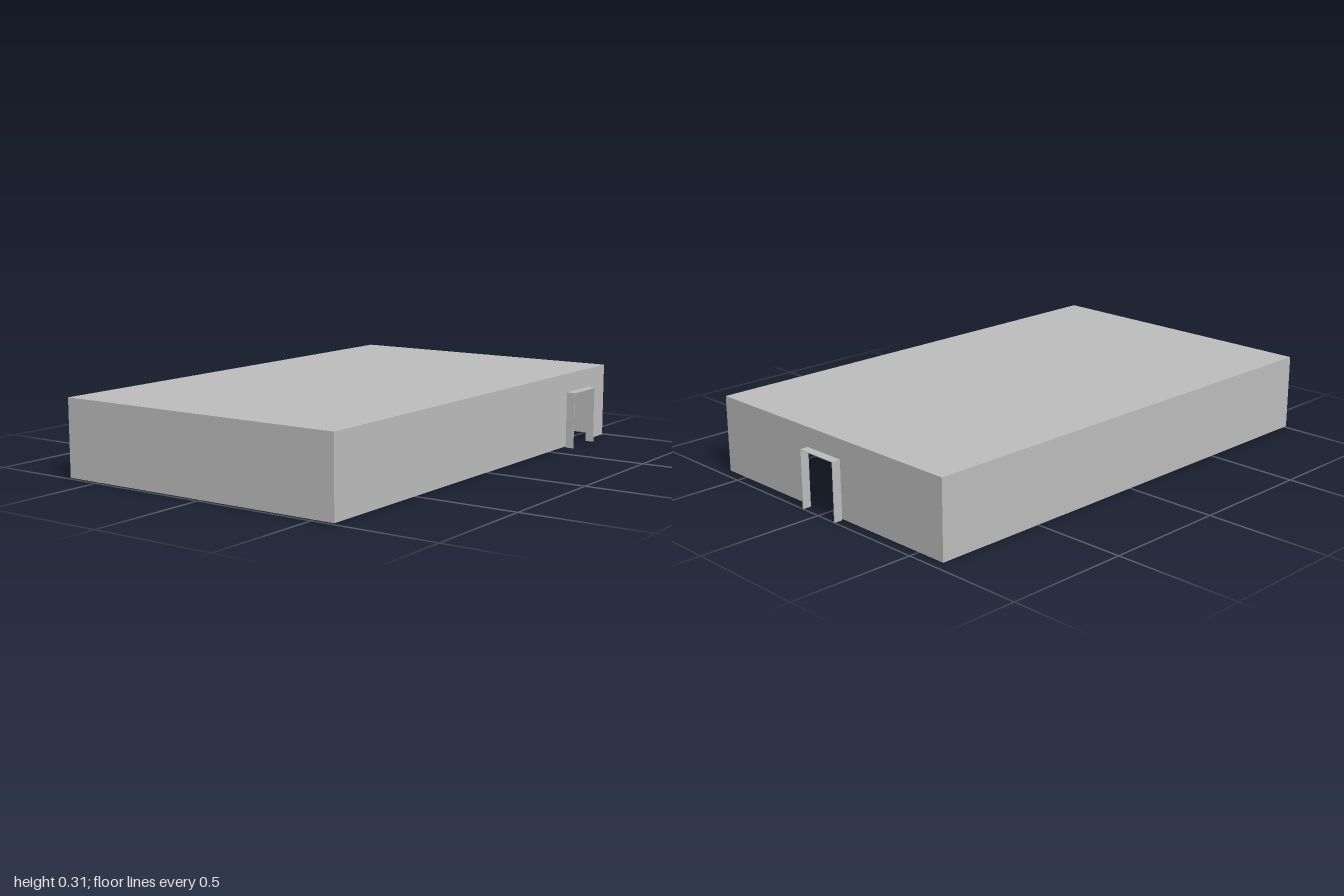
import * as THREE from 'three';
import { mergeGeometries } from 'three/addons/utils/BufferGeometryUtils.js';

// Hall extents
const X0 = -1, X1 = 0.965, Z0 = -0.63, Z1 = 0.595, Y0 = 0.005, H = 0.31;
const DOOR_H = 0.232, DEPTH = 0.035, T = 0.003;

const grey = new THREE.MeshStandardMaterial({ color: 0xbcbcbc, side: THREE.DoubleSide });
grey.name = 'plain grey';

function add(parent, name, geometry) {
  const mesh = new THREE.Mesh(geometry, grey);
  mesh.name = name;
  parent.add(mesh);
  return mesh;
}

// Box given by its lower and upper limits
function box(x0, x1, y0, y1, z0, z1) {
  return new THREE.BoxGeometry(x1 - x0, y1 - y0, z1 - z0)
    .translate((x0 + x1) / 2, (y0 + y1) / 2, (z0 + z1) / 2);
}

// Thin upright wall in the XY plane, with an optional doorway from d0 to d1
function wall(u0, u1, d0, d1) {
  const points = [[u0, Y0]];
  if (d0 !== undefined) points.push([d0, Y0], [d0, DOOR_H - T], [d1, DOOR_H - T], [d1, Y0]);
  points.push([u1, Y0], [u1, H], [u0, H]);
  return new THREE.ShapeGeometry(new THREE.Shape(points.map(p => new THREE.Vector2(...p))));
}

// Three-sided door surround standing out from the wall along +z
function doorFrame(u0, u1) {
  return mergeGeometries([
    box(u0, u0 + T, 0, DOOR_H, 0, DEPTH),
    box(u1 - T, u1, 0, DOOR_H, 0, DEPTH),
    box(u0 + T, u1 - T, DOOR_H - T, DOOR_H, 0, DEPTH),
  ]);
}

export function createModel() {
  const model = new THREE.Group();
  model.name = 'hall';

  // Walls
  add(model, 'frontWall', wall(X0, X1, 0.628, 0.807)).position.z = Z1;
  add(model, 'backWall', wall(-X1, -X0).rotateY(Math.PI)).position.z = Z0;
  add(model, 'leftWall', wall(-Z1, -Z0, -0.087, 0.092).rotateY(Math.PI / 2)).position.x = X1;
  add(model, 'rightWall', wall(Z0, Z1).rotateY(-Math.PI / 2)).position.x = X0;

  // Door surrounds
  add(model, 'frontDoorFrame', doorFrame(0.625, 0.81)).position.z = Z1;
  add(model, 'sideDoorFrame', doorFrame(-0.09, 0.095).rotateY(Math.PI / 2)).position.x = X1;

  // Roof
  add(model, 'roof', box(X0, X1, H - 0.004, H, Z0, Z1));

  // Ceiling grid under the roof
  const bars = [], nx = 30, nz = 19, w = 0.0015, low = H - 0.006, top = H - 0.004;
  for (let i = 1; i < nx; i++) {
    const x = X0 + (X1 - X0) * i / nx;
    bars.push(box(x - w, x + w, low, top, Z0, Z1));
  }
  for (let j = 1; j < nz; j++) {
    const z = Z0 + (Z1 - Z0) * j / nz;
    bars.push(box(X0, X1, low, top, z - w, z + w));
  }
  add(model, 'ceilingGrid', mergeGeometries(bars));

  // Narrow joint strips on the inside of the front wall
  for (const x of [-0.117, -0.78]) {
    add(model, 'wallJoint', box(x - 0.004, x + 0.004, Y0, top, Z1 - 0.004, Z1 - 0.0005));
  }
  return model;
}
